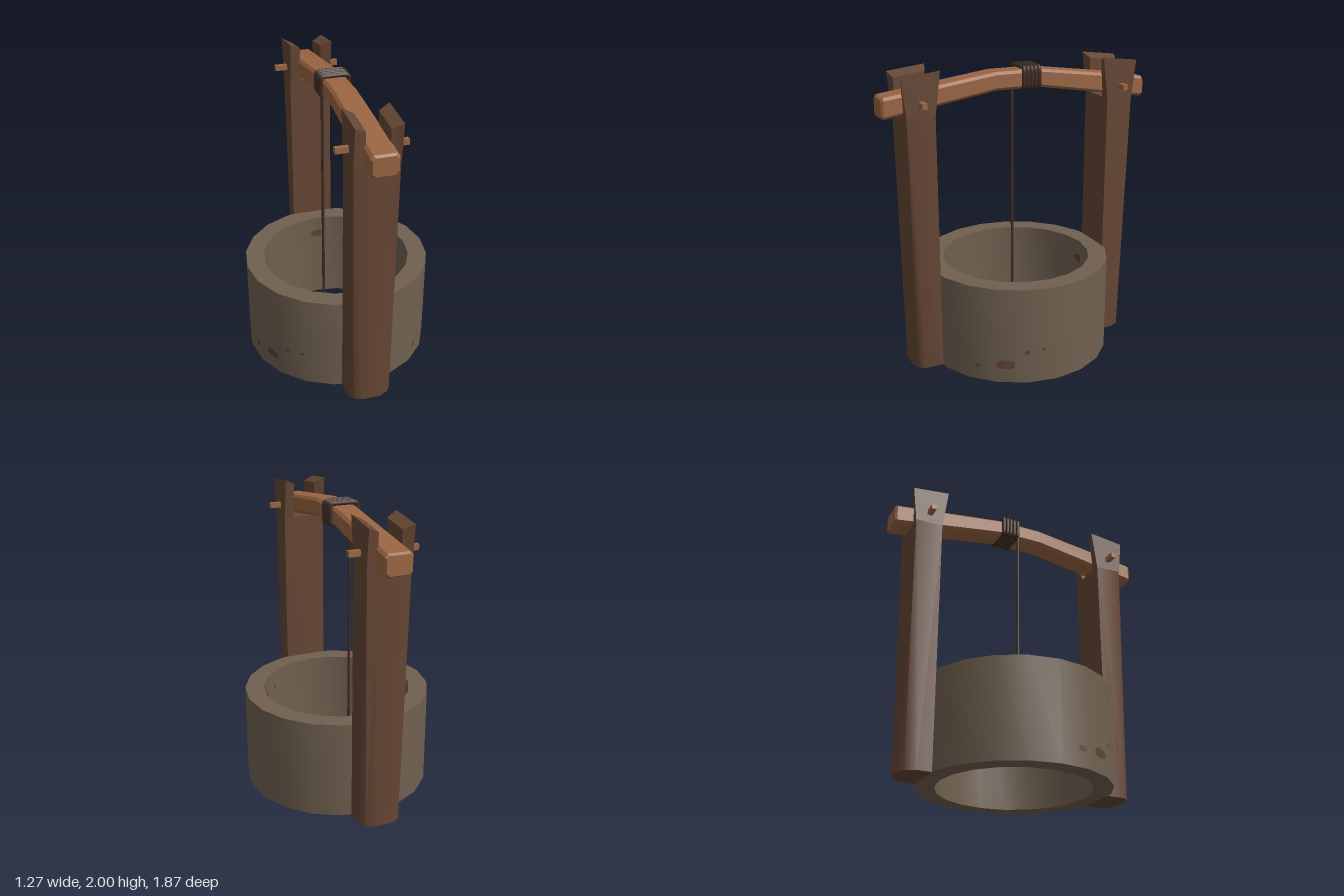
import * as THREE from 'three';
import { toCreasedNormals } from 'three/addons/utils/BufferGeometryUtils.js';

const mat = (name, color) => {
  const m = new THREE.MeshStandardMaterial({ color });
  m.name = name;
  return m;
};

// Skin a row of matching point loops and close both ends
function loft(loops, crease = 0.3) {
  const n = loops[0].length, pts = loops.flat(), idx = [];
  for (let s = 0; s < loops.length - 1; s++)
    for (let i = 0; i < n; i++) {
      const a = s * n + i, b = s * n + (i + 1) % n;
      idx.push(a, b, b + n, a, b + n, a + n);
    }
  const e = (loops.length - 1) * n;
  for (let i = 1; i < n - 1; i++) idx.push(0, i + 1, i, e, e + i, e + i + 1);
  // Turn the faces outward whatever the loop direction
  const v = pts.map((p) => new THREE.Vector3(...p));
  let volume = 0;
  for (let i = 0; i < idx.length; i += 3)
    volume += v[idx[i]].dot(v[idx[i + 1]].clone().cross(v[idx[i + 2]]));
  if (volume < 0) idx.reverse();
  const g = new THREE.BufferGeometry();
  g.setAttribute('position', new THREE.Float32BufferAttribute(pts.flat(), 3));
  g.setIndex(idx);
  return toCreasedNormals(g.toNonIndexed(), crease);
}

export function createModel() {
  const group = new THREE.Group();
  group.name = 'well';
  const stone = mat('stone', 0x706050);
  const darkWood = mat('dark wood', 0x654634);
  const lightWood = mat('light wood', 0x9a6542);
  const rope = mat('rope', 0x3f2d22);
  const stain = mat('stain', 0x5f4334);
  stain.side = THREE.DoubleSide;

  const add = (name, geometry, material, parent = group) => {
    const mesh = new THREE.Mesh(geometry, material);
    mesh.name = name;
    parent.add(mesh);
    return mesh;
  };

  // Stone ring, twenty sides
  const SIDES = 20, OUT = 0.635, IN = 0.507, H = 0.66;
  const profile = [[IN, 0], [OUT, 0], [OUT, H], [IN, H], [IN, 0]].map((p) => new THREE.Vector2(...p));
  const ring = new THREE.LatheGeometry(profile, SIDES);
  add('stoneRing', toCreasedNormals(ring.toNonIndexed(), 0.6), stone);

  // Stains that follow the facets of the wall: x, z direction, height, half width, half height
  const step = (2 * Math.PI) / SIDES;
  const addStain = (x, z, y, w, h, radius, lift) => {
    const mid = Math.atan2(x, z), pos = [], idx = [], n = 10;
    const put = (u, v) => {
      const a = mid + u / radius;
      const local = a - (Math.floor(a / step) + 0.5) * step;
      const r = (radius * Math.cos(step / 2)) / Math.cos(local) + lift;
      pos.push(r * Math.sin(a), y + v, r * Math.cos(a));
    };
    put(0, 0);
    for (const k of [0.5, 1])
      for (let i = 0; i < n; i++) {
        const t = (i / n) * 2 * Math.PI, wob = k * (1 + 0.12 * Math.sin(i * 2.3));
        put(w * wob * Math.cos(t), h * wob * Math.sin(t));
      }
    for (let i = 0; i < n; i++) {
      const a = 1 + i, b = 1 + ((i + 1) % n);
      idx.push(0, a, b, a, a + n, b + n, a, b + n, b);
    }
    const g = new THREE.BufferGeometry();
    g.setAttribute('position', new THREE.Float32BufferAttribute(pos, 3));
    g.setIndex(idx);
    g.computeVertexNormals();
    add('stain', g, stain);
  };
  [
    [0.54, 0.33, 0.13, 0.065, 0.034], [0.42, 0.47, 0.1, 0.022, 0.015],
    [0.6, 0.2, 0.22, 0.018, 0.015], [0.62, 0.09, 0.23, 0.015, 0.012],
    [-0.55, 0.31, 0.13, 0.06, 0.034], [-0.47, 0.42, 0.22, 0.018, 0.012],
    [-0.39, 0.5, 0.23, 0.013, 0.011], [-0.61, 0.15, 0.12, 0.03, 0.022],
  ].forEach((s) => addStain(...s, OUT, 0.004));
  [
    [0, -1, 0.53, 0.045, 0.03], [0.86, 0.52, 0.53, 0.045, 0.03], [0.67, 0.74, 0.54, 0.015, 0.012],
  ].forEach((s) => addStain(...s, IN, -0.004));

  // Forked posts, front and back
  for (const side of [1, -1]) {
    const post = new THREE.Group();
    post.name = side > 0 ? 'frontPost' : 'backPost';
    group.add(post);
    const cut = side > 0 ? 0.74 : 0.71;
    const half = [[0.145, 0.612], [0.145, cut], [0.115, 0.775], [0.06, 0.8]];
    const halfTop = [[0.145, 0.612], [0.145, 0.795], [0.143, 0.8], [0.06, 0.8]];
    const section = (h, y) => [...h, ...h.map(([x, z]) => [-x, z]).reverse()].map(([x, z]) => [x, y, z * side]);
    add('trunk', loft([section(half, 0), section(halfTop, 1.725)], 0.75), darkWood, post);

    // Flared prongs either side of the beam
    for (const s of [1, -1]) {
      const place = ([x, y, z]) => [x * s, y, z * side];
      add('prong', loft([
        [[0.075, 1.72, 0.612], [0.145, 1.72, 0.612], [0.145, 1.72, 0.8], [0.075, 1.72, 0.8]].map(place),
        [[0.075, 1.965, 0.597], [0.145, 2, 0.575], [0.145, 1.97, 0.828], [0.075, 1.94, 0.805]].map(place),
      ]), darkWood, post);
    }

    // Peg through both prongs
    const peg = add('peg', new THREE.BoxGeometry(0.45, 0.036, 0.034), lightWood, post);
    peg.position.set(-0.003, 1.803, 0.705 * side);
  }

  // Bent crossbeam with chamfered edges: z, centre height, half width, half height
  const beam = [
    [0.935, 1.777, 0.076, 0.058], [0.92, 1.779, 0.087, 0.068], [0.17, 1.888, 0.083, 0.06],
    [-0.14, 1.888, 0.083, 0.06], [-0.915, 1.773, 0.09, 0.07], [-0.93, 1.771, 0.08, 0.06],
  ].map(([z, y, w, h]) => {
    const c = 0.018;
    return [[w - c, h], [w, h - c], [w, c - h], [w - c, -h], [c - w, -h], [-w, c - h], [-w, h - c], [c - w, h]]
      .map(([dx, dy]) => [dx, y + dy, z]);
  });
  add('crossbeam', loft(beam, 0.2), lightWood);

  // Rope wound round the beam
  const corners = [[0.092, 0.05], [0.075, 0.07], [-0.075, 0.07], [-0.092, 0.05],
    [-0.092, -0.045], [-0.075, -0.06], [0.075, -0.06], [0.092, -0.045]];
  const loop = new THREE.CatmullRomCurve3(
    corners.map(([x, y]) => new THREE.Vector3(x, y, 0)), true, 'catmullrom', 0.3);
  for (let i = 0; i < 5; i++) {
    const coil = add('ropeCoil', new THREE.TubeGeometry(loop, 40, 0.0145, 8, true), rope);
    coil.position.set(0, 1.895, -0.017 - i * 0.027);
  }

  // Rope hanging into the well
  const hanging = add('hangingRope', new THREE.CylinderGeometry(0.01, 0.01, 1.725, 8), rope);
  hanging.position.set(-0.088, 1.0275, -0.013);

  return group;
}
